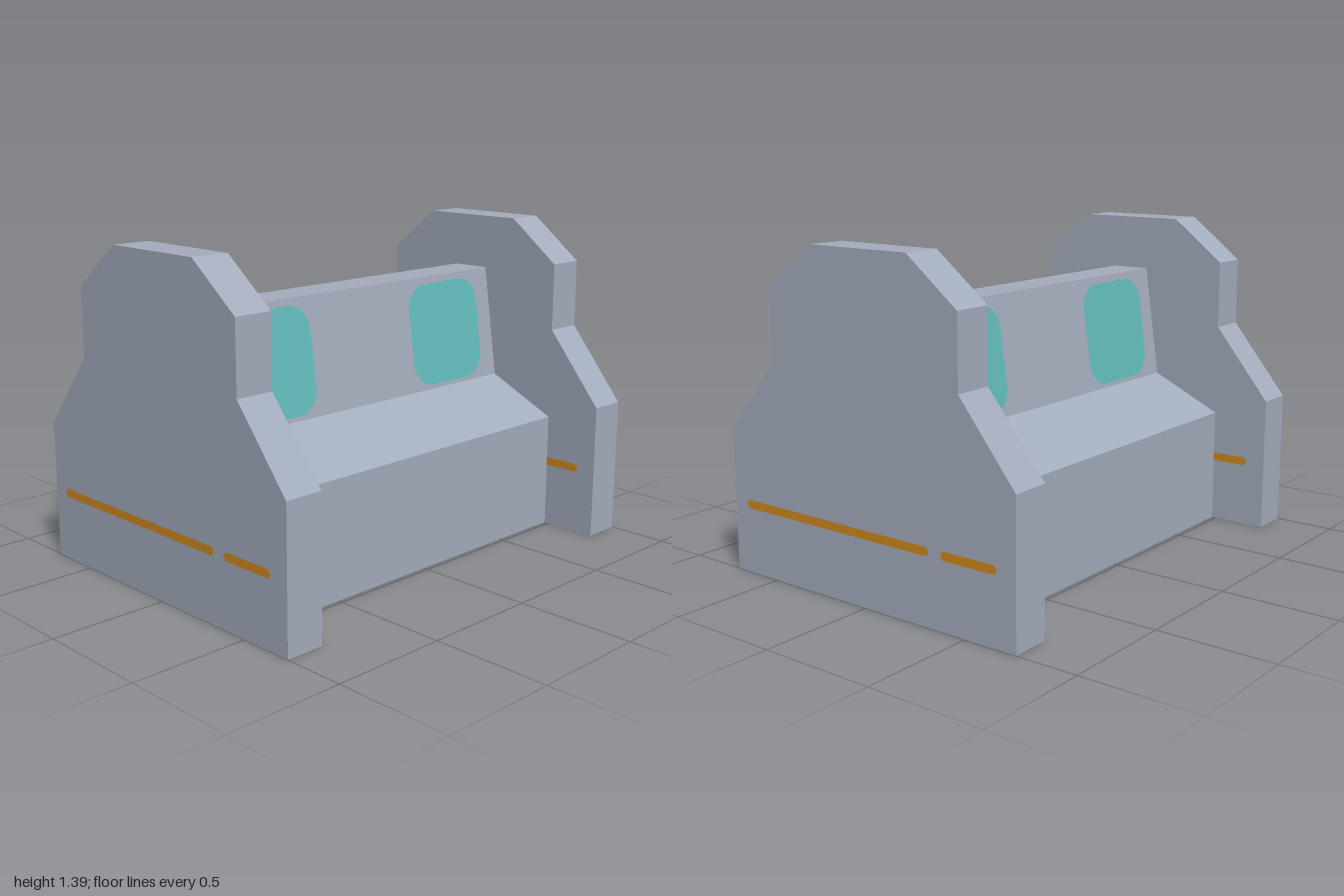
import * as THREE from 'three';

const grey = new THREE.MeshStandardMaterial({ color: 0xa4adbd, side: THREE.DoubleSide });
grey.name = 'blue grey shell';
const teal = new THREE.MeshStandardMaterial({ color: 0x62bcbb });
teal.name = 'teal pad';
const orange = new THREE.MeshStandardMaterial({ color: 0xd08a1c });
orange.name = 'orange stripe';

// Mirrors half a profile of [z, y] points and extrudes it along x; the bottom
// is left open, and the ends too when openEnds is set.
function shell(half, width, openEnds) {
  const points = [...half, ...half.map(([z, y]) => [-z, y]).reverse()];
  const shape = new THREE.Shape(points.map(([z, y]) => new THREE.Vector2(z, y)));
  const solid = new THREE.ExtrudeGeometry(shape, { depth: width, bevelEnabled: false });
  solid.translate(0, 0, -width / 2).rotateY(Math.PI / 2);
  const pos = solid.attributes.position;
  const kept = [];
  const tri = new THREE.Triangle();
  const normal = new THREE.Vector3();
  for (let i = 0; i < pos.count; i += 3) {
    tri.setFromAttributeAndIndices(pos, i, i + 1, i + 2);
    tri.getNormal(normal);
    if (normal.y < -0.9 || (openEnds && Math.abs(normal.x) > 0.9)) continue;
    for (const p of [tri.a, tri.b, tri.c]) kept.push(p.x, p.y, p.z);
  }
  const geometry = new THREE.BufferGeometry();
  geometry.setAttribute('position', new THREE.Float32BufferAttribute(kept, 3));
  geometry.computeVertexNormals();
  return geometry;
}

// Flat bar with chamfered ends
function stripeGeometry(x0, x1) {
  const h = 0.018, k = 0.009, c = 0.014;
  const outline = [[x0, -k], [x0 + c, -h], [x1 - c, -h], [x1, -k], [x1, k], [x1 - c, h], [x0 + c, h], [x0, k]];
  return new THREE.ShapeGeometry(new THREE.Shape(outline.map(([x, y]) => new THREE.Vector2(x, y))));
}

function roundedSquare(size, r) {
  const s = size / 2, q = s - r;
  const shape = new THREE.Shape();
  shape.absarc(q, q, r, 0, Math.PI / 2);
  shape.absarc(-q, q, r, Math.PI / 2, Math.PI);
  shape.absarc(-q, -q, r, Math.PI, Math.PI * 1.5);
  shape.absarc(q, -q, r, Math.PI * 1.5, Math.PI * 2);
  return new THREE.ShapeGeometry(shape, 8);
}

function add(parent, name, geometry, material) {
  const mesh = new THREE.Mesh(geometry, material);
  mesh.name = name;
  parent.add(mesh);
  return mesh;
}

export function createModel() {
  const model = new THREE.Group();
  model.name = 'doubleSidedBench';

  // Seats on both sides sharing one tapered backrest
  const bodyProfile = [[0.48, 0], [0.48, 0.505], [0.16, 0.655], [0.087, 1.15]];
  add(model, 'seatAndBackrest', shell(bodyProfile, 1.666, true), grey);

  // End panels, each with a broken stripe on both faces
  const width = 0.167;
  const panelProfile = [[0.737, 0], [0.737, 0.592], [0.48, 0.908], [0.48, 1.203], [0.243, 1.388]];
  const panelGeometry = shell(panelProfile, width, false);
  const stripes = [stripeGeometry(-0.662, 0.328), stripeGeometry(0.39, 0.648)];
  for (const side of [1, -1]) {
    const panel = new THREE.Group();
    panel.name = side > 0 ? 'leftEndPanel' : 'rightEndPanel';
    panel.position.x = side * (1 - width / 2 - 0.001);
    add(panel, 'panelShell', panelGeometry, grey);
    for (const face of [1, -1]) {
      for (const geometry of stripes) {
        const stripe = add(panel, 'stripe', geometry, orange);
        stripe.rotation.y = face * Math.PI / 2;
        stripe.position.set(face * (width / 2 + 0.002), 0.297, 0);
      }
    }
    model.add(panel);
  }

  // Rounded pads on both faces of the backrest
  const padGeometry = roundedSquare(0.45, 0.11);
  const tilt = Math.atan2(0.073, 0.495);
  for (const turn of [0, Math.PI]) {
    const pads = new THREE.Group();
    pads.name = turn ? 'backPads' : 'frontPads';
    pads.rotation.y = turn;
    for (const x of [-0.525, 0.515]) {
      const pad = add(pads, 'backrestPad', padGeometry, teal);
      pad.position.set(x, 0.897, 0.1273);
      pad.rotation.x = -tilt;
    }
    model.add(pads);
  }
  return model;
}
